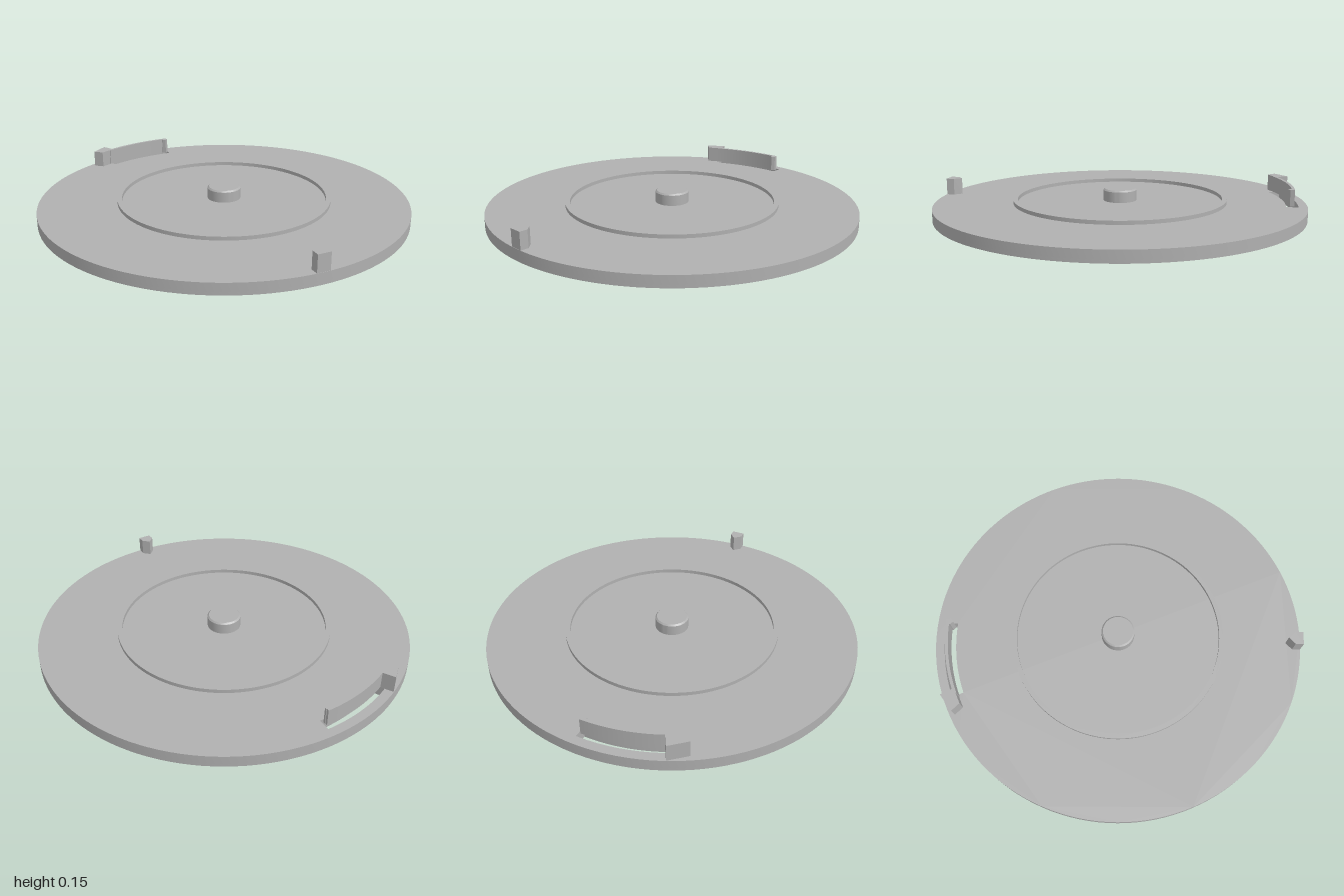
import * as THREE from 'three';
import { toCreasedNormals } from 'three/addons/utils/BufferGeometryUtils.js';

const SEGMENTS = 64;
const deg = THREE.MathUtils.degToRad;

// Closed band between two radii; angles in degrees, 90 = back, 180 = model's right
function band(PathType, r0, r1, a0, a1) {
  const p = new PathType();
  p.absarc(0, 0, r1, deg(a0), deg(a1), false);
  p.absarc(0, 0, r0, deg(a1), deg(a0), true);
  p.closePath();
  return p;
}

function circle(PathType, x, y, r) {
  const p = new PathType();
  p.absarc(x, y, r, 0, Math.PI * 2, false);
  return p;
}

const polygon = (points) => new THREE.Shape(points.map(([x, y]) => new THREE.Vector2(x, y)));

export function createModel() {
  const group = new THREE.Group();
  const grey = new THREE.MeshStandardMaterial({ color: 0xb0b0b0 });
  grey.name = 'grey';

  const add = (name, geometry) => {
    const mesh = new THREE.Mesh(toCreasedNormals(geometry, 0.5), grey);
    mesh.name = name;
    group.add(mesh);
  };
  // Extrude a plan outline (x, -z) from height y0 to y1
  const slab = (name, shape, y0, y1) => {
    const g = new THREE.ExtrudeGeometry(shape, { depth: y1 - y0, bevelEnabled: false, curveSegments: SEGMENTS });
    add(name, g.rotateX(-Math.PI / 2).translate(0, y0, 0));
  };

  // Base disc: upper layer with the arm slot, lower layer also has four round recesses
  const slot = () => band(THREE.Path, 0.89, 0.953, 88.6, 114.5);
  const upper = circle(THREE.Shape, 0, 0, 1);
  upper.holes.push(slot());
  slab('baseDisc', upper, 0.016, 0.06);

  const lower = circle(THREE.Shape, 0, 0, 1);
  lower.holes.push(slot());
  for (let i = 0; i < 4; i++) {
    const a = deg(49.5 + i * 90);
    lower.holes.push(circle(THREE.Path, 0.795 * Math.cos(a), 0.795 * Math.sin(a), 0.059));
  }
  slab('baseUnderside', lower, 0, 0.016);

  // Raised ring
  const ring = circle(THREE.Shape, 0, 0, 0.58);
  ring.holes.push(circle(THREE.Path, 0, 0, 0.555));
  slab('raisedRing', ring, 0.06, 0.08);

  // Centre knob with a chamfered top edge
  const knob = [[0.09, 0.06], [0.09, 0.117], [0.082, 0.125], [0, 0.125]];
  add('centreKnob', new THREE.LatheGeometry(knob.map(([x, y]) => new THREE.Vector2(x, y)), SEGMENTS));

  // Pointer at the front edge
  slab('pointer', polygon([[-0.035, -0.998], [0.035, -0.998], [0.035, -0.955], [0, -0.92], [-0.035, -0.955]]), 0.06, 0.15);

  // Spring arm over the slot: anchor block, curved arm and pointed catch
  slab('armBlock', polygon([[-0.492, 0.84], [-0.45, 0.802], [-0.37, 0.842], [-0.408, 0.911]]), 0.06, 0.15);
  slab('springArm', band(THREE.Shape, 0.915, 0.931, 89.2, 115.5), 0.062, 0.15);
  slab('armCatch', polygon([[-0.016, 0.918], [-0.016, 0.908], [0, 0.895], [0.016, 0.908], [0.016, 0.918]]), 0.062, 0.15);

  return group;
}
